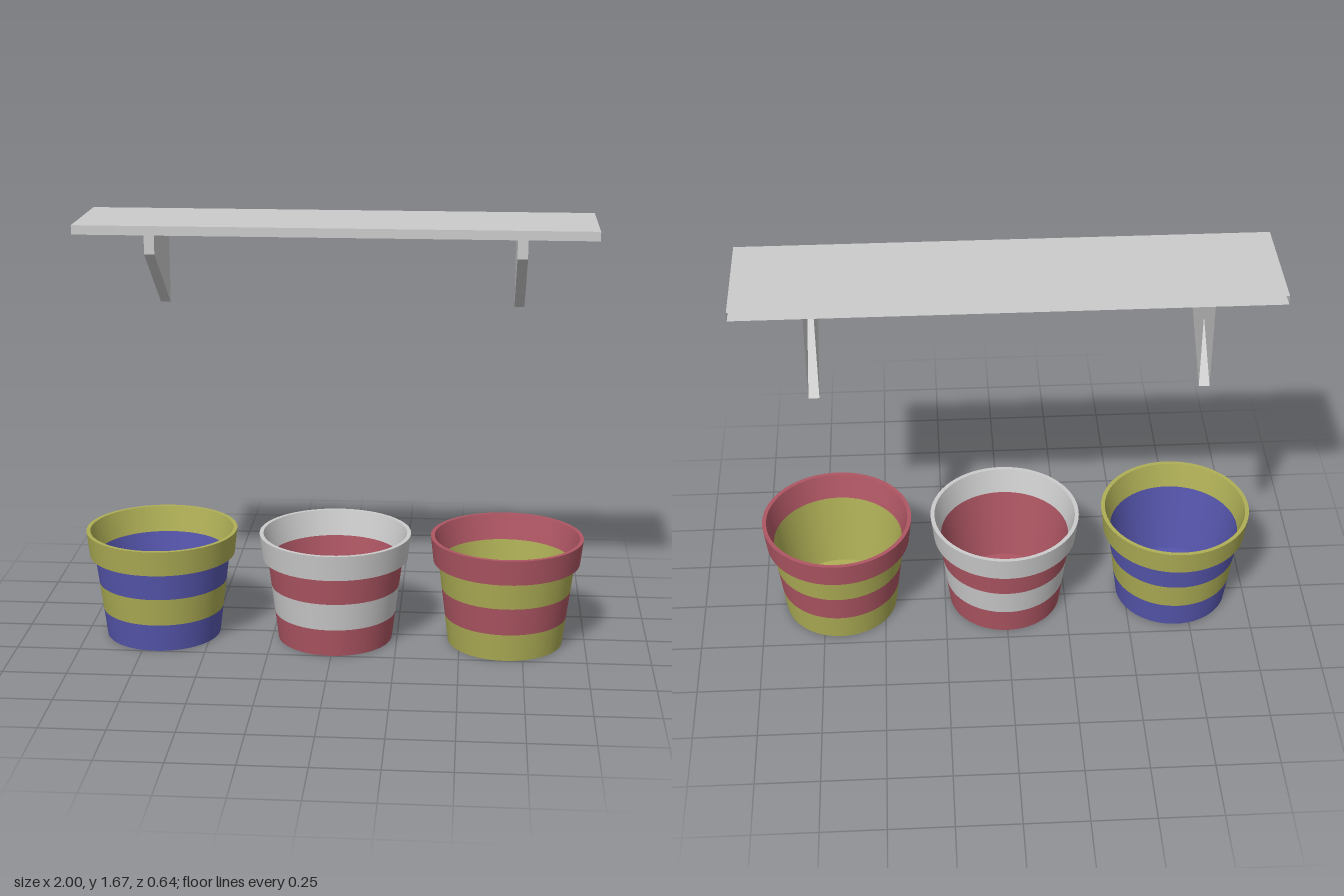
import * as THREE from 'three';
import { mergeGeometries } from 'three/addons/utils/BufferGeometryUtils.js';

const paint = (color) => new THREE.MeshStandardMaterial({ color, side: THREE.DoubleSide });
const grey = paint(0xcccccc);
const yellow = paint(0xaeae56);
const red = paint(0xae5663);
const blue = paint(0x5656ae);

function addMesh(parent, name, geometry, material) {
  const mesh = new THREE.Mesh(geometry, material);
  mesh.name = name;
  parent.add(mesh);
  return mesh;
}

// Turned shape with a crisp edge at every profile point
function turned(profile) {
  const parts = [];
  for (let i = 0; i + 1 < profile.length; i++) {
    const ends = [profile[i], profile[i + 1]].map(([r, y]) => new THREE.Vector2(r, y));
    parts.push(new THREE.LatheGeometry(ends, 64));
  }
  return mergeGeometries(parts);
}

// Box whose back (-z) face is left open against the wall
function openBackBox(width, yMin, yMax, zMin, zMax) {
  const geometry = new THREE.BoxGeometry(width, yMax - yMin, zMax - zMin);
  geometry.translate(0, (yMin + yMax) / 2, (zMin + zMax) / 2);
  geometry.setIndex(Array.from(geometry.index.array).slice(0, 30));
  geometry.clearGroups();
  return geometry;
}

// Wedge bracket: an open-backed box with its lower front edge raised
function bracketGeometry() {
  const geometry = openBackBox(0.04, 1.29, 1.637, -0.32, 0.04);
  const p = geometry.attributes.position;
  for (let i = 0; i < p.count; i++) {
    if (p.getZ(i) > 0 && p.getY(i) < 1.4) p.setY(i, 1.55);
  }
  geometry.computeVertexNormals();
  return geometry;
}

function createPot(name, bodyPaint, rimPaint) {
  const pot = new THREE.Group();
  pot.name = name;

  // Three tapering stripes on the outer wall
  const levels = [0, 0.112, 0.224, 0.335];
  const radius = (y) => 0.228 + (y / 0.335) * 0.042;
  for (let i = 0; i < 3; i++) {
    const [y0, y1] = [levels[i], levels[i + 1]];
    addMesh(pot, `stripe${i + 1}`, turned([[radius(y0), y0], [radius(y1), y1]]),
      i % 2 ? rimPaint : bodyPaint);
  }

  // Inner wall, floor, and the shallow recess beneath the floor
  addMesh(pot, 'innerWall', turned([[0.261, 0.335], [0.217, 0.03], [0, 0.03]]), bodyPaint);
  addMesh(pot, 'base', turned([[0, 0.018], [0.219, 0.018], [0.219, 0], [0.228, 0]]), bodyPaint);

  // Overhanging collar
  addMesh(pot, 'rim', turned([
    [0.261, 0.335], [0.29, 0.335], [0.302, 0.437], [0.286, 0.437], [0.261, 0.335],
  ]), rimPaint);
  return pot;
}

export function createModel() {
  const model = new THREE.Group();
  model.name = 'shelfAndPots';

  // Wall shelf on two brackets
  const shelf = new THREE.Group();
  shelf.name = 'wallShelf';
  addMesh(shelf, 'board', openBackBox(2, 1.637, 1.673, -0.32, 0.12), grey);
  for (const [name, x] of [['rightBracket', -0.716], ['leftBracket', 0.714]]) {
    addMesh(shelf, name, bracketGeometry(), grey).position.x = x;
  }
  model.add(shelf);

  // Row of striped pots
  const pots = [
    ['rightPot', -0.697, blue, yellow],
    ['middlePot', 0, red, grey],
    ['leftPot', 0.682, yellow, red],
  ];
  for (const [name, x, bodyPaint, rimPaint] of pots) {
    const pot = createPot(name, bodyPaint, rimPaint);
    pot.position.set(x, 0, 0.02);
    model.add(pot);
  }
  return model;
}
